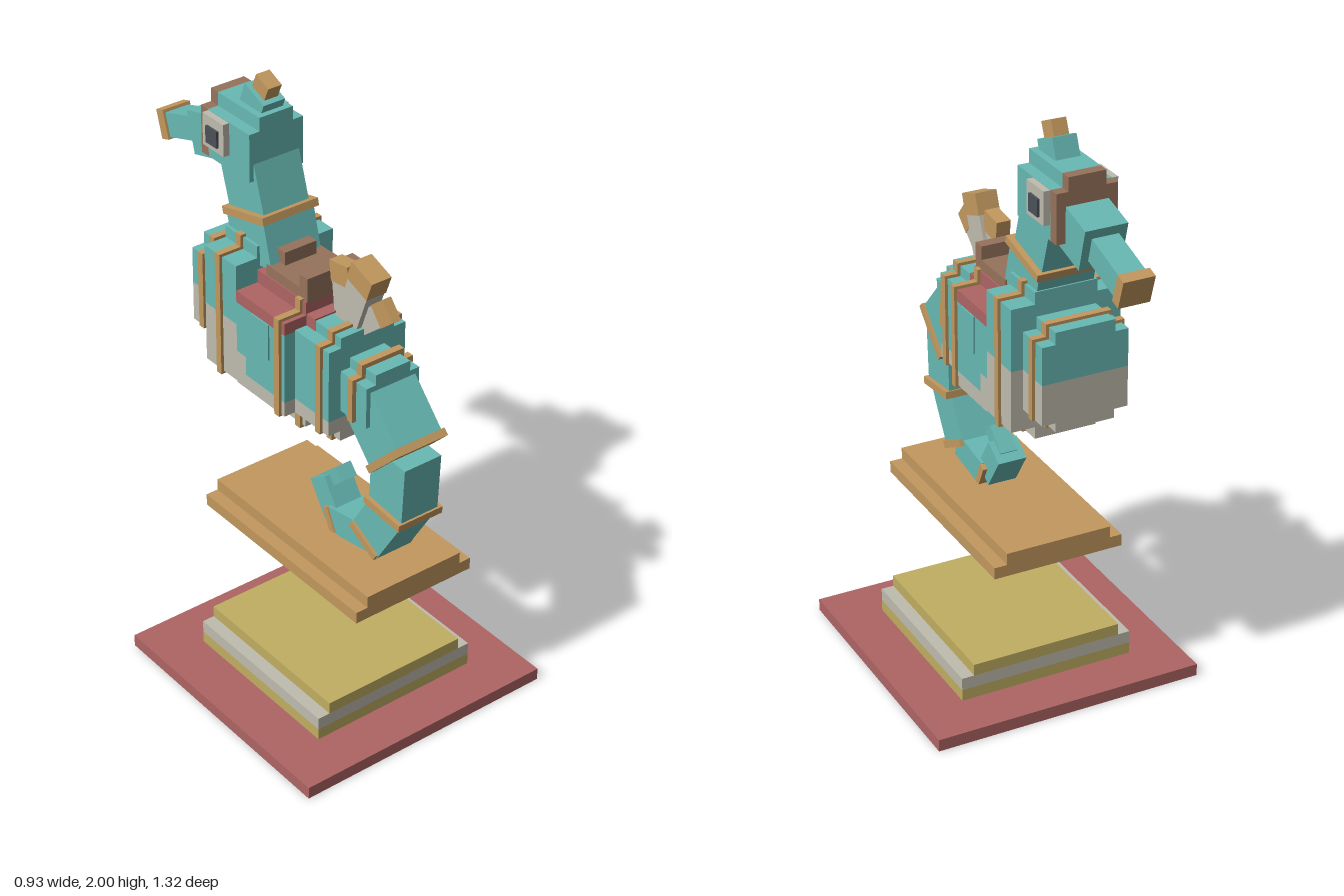
import * as THREE from 'three';

export function createModel() {
  const root = new THREE.Group();
  const mat = (name, color) => Object.assign(new THREE.MeshStandardMaterial({ color }), { name });
  const teal = mat('teal', 0x68b9b4), orange = mat('ochre', 0xc2985e), red = mat('red', 0xae6464);
  const yellow = mat('straw', 0xc0ae62), cream = mat('cream', 0xbfbbae);
  const brown = mat('brown', 0x97735c), dark = mat('slate', 0x4b5058);

  // Box given by its limits
  function box(name, m, x0, x1, y0, y1, z0, z1, parent = root) {
    const mesh = new THREE.Mesh(new THREE.BoxGeometry(x1 - x0, y1 - y0, z1 - z0), m);
    mesh.position.set((x0 + x1) / 2, (y0 + y1) / 2, (z0 + z1) / 2);
    mesh.name = name;
    parent.add(mesh);
  }
  // Box symmetric about x = 0
  const slab = (name, m, hw, y0, y1, z0, z1, parent) => box(name, m, -hw, hw, y0, y1, z0, z1, parent);

  // Tilted box running between two [z, y] points
  function bar(name, m, [z0, y0], [z1, y1], hw, h) {
    const mesh = new THREE.Mesh(new THREE.BoxGeometry(hw * 2, h, Math.hypot(z1 - z0, y1 - y0)), m);
    mesh.position.set(0, (y0 + y1) / 2, (z0 + z1) / 2);
    mesh.rotation.x = Math.atan2(y0 - y1, z1 - z0);
    mesh.name = name;
    root.add(mesh);
  }
  // Thin ring across a tilted part
  function ring(name, [z, y], [dz, dy], hw, h, t = 0.025) {
    const k = t / 2 / Math.hypot(dz, dy);
    bar(name, orange, [z - dz * k, y - dy * k], [z + dz * k, y + dy * k], hw, h);
  }
  // Stepped body section, cut into horizontal colour layers [material, top]
  function section(name, z0, z1, steps, layers) {
    const g = new THREE.Group();
    g.name = name;
    root.add(g);
    for (const [hw, y0, y1] of steps) {
      let low = y0;
      for (const [m, limit] of layers) {
        const high = Math.min(y1, limit);
        if (high > low) {
          slab(name + 'Layer', m, hw, low, high, z0, z1, g);
          low = high;
        }
      }
    }
  }

  // Base and floating plinth
  slab('groundPlate', red, 0.467, 0, 0.042, -0.273, 0.662);
  slab('baseLower', yellow, 0.305, 0.042, 0.082, -0.11, 0.502);
  slab('baseMiddle', cream, 0.305, 0.082, 0.125, -0.11, 0.502);
  slab('baseTop', yellow, 0.262, 0.125, 0.165, -0.11, 0.502);
  slab('plinthLower', orange, 0.225, 0.515, 0.555, -0.187, 0.582);
  slab('plinthUpper', orange, 0.182, 0.555, 0.595, -0.187, 0.582);

  // Body
  section('chest', -0.347, -0.225, [[0.145, 1.11, 1.37], [0.1, 1.08, 1.41]], [[cream, 1.245], [teal, 9]]);
  section('shoulder', -0.225, -0.065, [[0.185, 1.04, 1.45], [0.105, 1, 1.49]], [[cream, 1.245], [teal, 9]]);
  const trunk = [[0.185, 1.035, 1.365], [0.105, 0.965, 1.41]];
  section('trunkFront', -0.065, -0.02, trunk, [[cream, 1.15], [teal, 1.325], [red, 9]]);
  section('trunk', -0.02, 0.175, trunk, [[cream, 1.085], [teal, 1.325], [red, 9]]);
  section('rump', 0.175, 0.338, [[0.145, 1.035, 1.33], [0.1, 1, 1.365]], [[cream, 1.085], [teal, 9]]);
  slab('clothBack', red, 0.102, 1.325, 1.37, 0.175, 0.215);
  section('tailRoot', 0.338, 0.46, [[0.1, 1.11, 1.25], [0.065, 1.085, 1.285]], [[teal, 9]]);

  // Body hoops
  const hoops = [
    [-0.292, 0.155, 1.11, 1.38, 0.11, 1.075, 1.42],
    [-0.147, 0.195, 1.03, 1.46, 0.115, 0.995, 1.5],
    [0.148, 0.195, 1.03, 1.375, 0.115, 0.955, 1.415],
    [0.297, 0.155, 1.03, 1.34, 0.11, 0.99, 1.375],
    [0.4, 0.115, 1.11, 1.26, 0.08, 1.105, 1.3],
  ];
  for (const [z, a, b, c, d, e, f] of hoops) {
    section('bodyHoop', z - 0.012, z + 0.012, [[a, b, c], [d, e, f]], [[orange, 9]]);
  }

  // Saddle
  slab('saddleSeat', brown, 0.1, 1.405, 1.445, -0.025, 0.175);
  slab('saddleBack', brown, 0.1, 1.41, 1.49, 0.138, 0.177);
  slab('saddleHorn', brown, 0.06, 1.41, 1.49, -0.027, 0.015);

  // Back fin of three tipped blades
  const blades = [
    [[0.447, 1.48], [0.25, 1.315], 0.016, 0.075],
    [[0.352, 1.572], [0.262, 1.325], 0.037, 0.1],
    [[0.225, 1.54], [0.25, 1.34], 0.024, 0.085],
  ];
  for (const [a, b, hw, h] of blades) {
    const k = 0.07 / Math.hypot(b[0] - a[0], b[1] - a[1]);
    const mid = [a[0] + (b[0] - a[0]) * k, a[1] + (b[1] - a[1]) * k];
    bar('finTip', orange, a, mid, hw, h);
    bar('finBlade', cream, mid, b, hw * 0.9, h * 0.94);
  }

  // Curled tail
  const path = [[0.395, 1.17], [0.53, 1.028], [0.52, 0.825], [0.42, 0.662], [0.24, 0.632], [0.165, 0.745]];
  const size = [[0.085, 0.18], [0.07, 0.155], [0.065, 0.14], [0.06, 0.09], [0.05, 0.085]];
  size.forEach(([hw, h], i) => bar('tailSegment', teal, path[i], path[i + 1], hw, h));
  bar('tailTip', teal, [0.17, 0.725], [0.245, 0.792], 0.03, 0.05);
  ring('tailRing', path[1], [0.13, -0.13], 0.095, 0.19);
  ring('tailRing', path[2], [-0.02, -0.2], 0.085, 0.168);
  ring('tailRing', path[3], [-0.09, -0.17], 0.075, 0.135);
  ring('tailRing', path[4], [-0.14, -0.07], 0.065, 0.085);

  // Neck
  bar('neckLower', teal, [-0.1, 1.41], [-0.14, 1.56], 0.095, 0.19);
  bar('neckUpper', teal, [-0.14, 1.56], [-0.19, 1.72], 0.085, 0.178);
  ring('neckRing', [-0.137, 1.563], [-0.045, 0.19], 0.105, 0.21);

  // Head with face mask
  const skull = [[0.1, 1.69, 1.85], [0.062, 1.69, 1.895]];
  section('head', -0.312, -0.105, skull, [[teal, 9]]);
  section('faceMask', -0.348, -0.312, skull, [[brown, 9]]);
  slab('chin', brown, 0.06, 1.655, 1.69, -0.345, -0.3);
  bar('snoutBase', teal, [-0.31, 1.742], [-0.447, 1.705], 0.07, 0.142);
  bar('snout', teal, [-0.44, 1.707], [-0.612, 1.652], 0.044, 0.08);
  bar('snoutTip', orange, [-0.608, 1.655], [-0.643, 1.644], 0.052, 0.097);

  // Eyes
  for (const s of [-1, 1]) {
    const side = (name, m, a, b, ...r) => box(name, m, Math.min(s * a, s * b), Math.max(s * a, s * b), ...r);
    side('eyeFrame', cream, 0.1, 0.122, 1.74, 1.848, -0.31, -0.205);
    side('eye', dark, 0.12, 0.13, 1.76, 1.816, -0.286, -0.23);
    side('flankPatch', teal, 0.184, 0.19, 1.2, 1.325, 0.015, 0.1);
  }

  // Crest
  bar('crest', teal, [-0.185, 1.88], [-0.16, 1.942], 0.04, 0.1);
  bar('crestTip', orange, [-0.16, 1.942], [-0.14, 1.988], 0.025, 0.065);

  return root;
}
